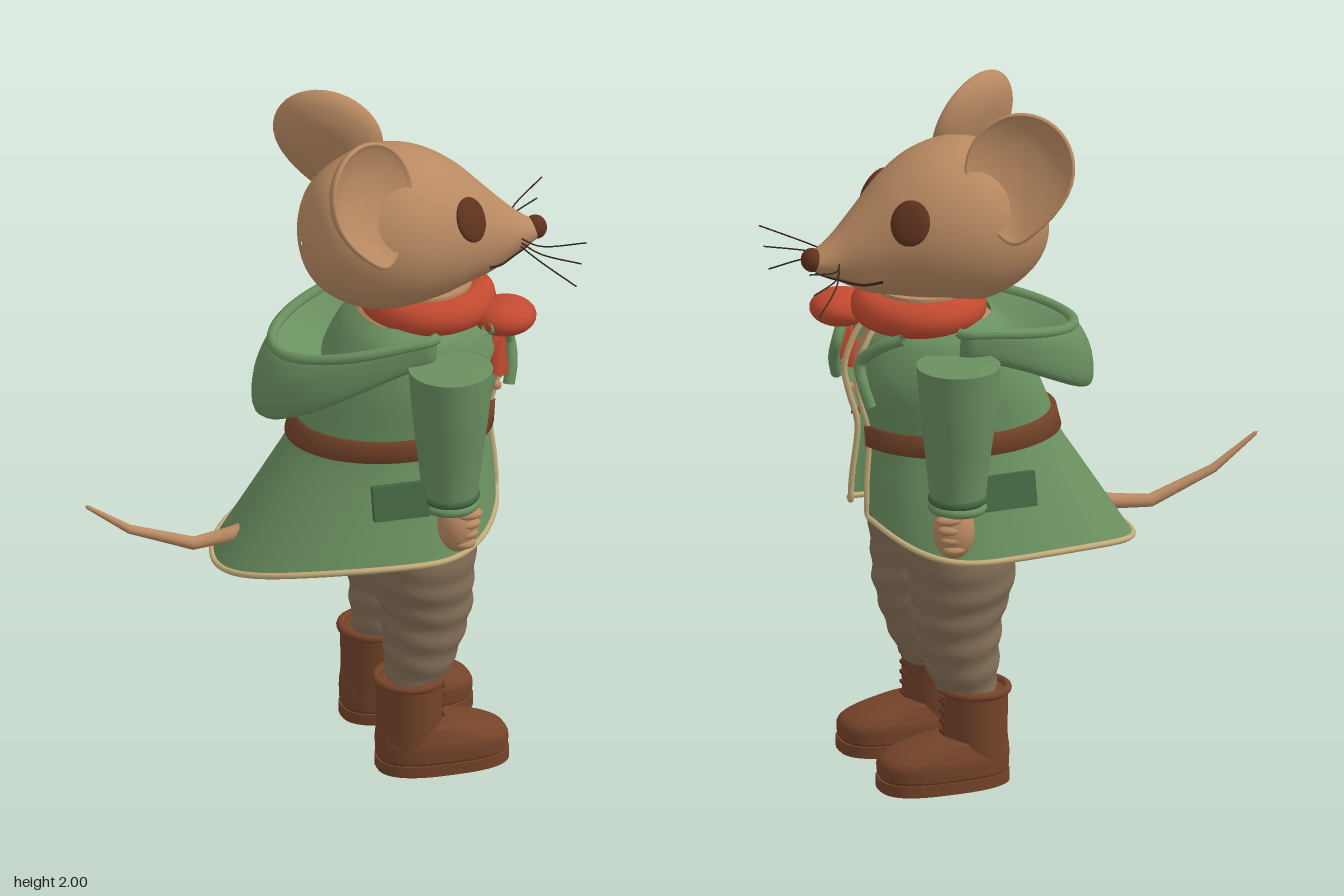
import * as THREE from 'three';

const V = (x, y, z) => new THREE.Vector3(x, y, z);
const mat = (name, color, side = THREE.FrontSide) => {
  const m = new THREE.MeshStandardMaterial({ color, side });
  m.name = name;
  return m;
};

// Skin a list of rings (equal point counts); closed shapes are turned outward.
function loft(rings, wrap = true) {
  const n = rings[0].length, idx = [], pos = rings.flat().flatMap(p => [p.x, p.y, p.z]);
  let vol = 0;
  const P = rings.flat(), tri = (a, b, c) => {
    idx.push(a, b, c);
    vol += P[a].dot(P[b].clone().cross(P[c]));
  };
  for (let i = 0; i < rings.length - 1; i++)
    for (let j = 0; j < (wrap ? n : n - 1); j++) {
      const k = (j + 1) % n, a = i * n + j, b = i * n + k;
      tri(a, b, a + n);
      tri(b, b + n, a + n);
    }
  if (vol < 0) idx.reverse();
  const g = new THREE.BufferGeometry();
  g.setAttribute('position', new THREE.Float32BufferAttribute(pos, 3));
  g.setIndex(idx);
  g.computeVertexNormals();
  return g;
}

// Catmull-Rom through table rows, column by column.
function smooth(rows, steps = 6) {
  const out = [], at = i => rows[Math.max(0, Math.min(rows.length - 1, i))];
  for (let i = 0; i < rows.length - 1; i++)
    for (let s = 0; s < steps; s++) {
      const t = s / steps;
      out.push(rows[i].map((b, c) => {
        const a = at(i - 1)[c], d = at(i + 1)[c], e = at(i + 2)[c];
        return b + 0.5 * t * (d - a + t * (2 * a - 5 * b + 4 * d - e + t * (3 * (b - d) + e - a)));
      }));
    }
  out.push(rows[rows.length - 1]);
  return out;
}

const circle = (n, fn) => Array.from({ length: n }, (_, i) => fn(i / n * Math.PI * 2));
const tube = (pts, r, seg = 40) => new THREE.TubeGeometry(new THREE.CatmullRomCurve3(pts), seg, r, 8);

export function createModel() {
  const model = new THREE.Group();
  model.name = 'mouse';
  const fur = mat('fur', 0xb98a62), green = mat('coatGreen', 0x6a9060, THREE.DoubleSide),
    darkGreen = mat('darkGreen', 0x456842), cloth = mat('trouserCloth', 0x857058),
    leather = mat('leather', 0x744329), red = mat('scarfRed', 0xc24a30),
    trim = mat('trim', 0xc4ad7c), dark = mat('darkBrown', 0x5f321e), ink = mat('whiskerDark', 0x35261d);
  const add = (name, geo, m, p) => {
    const mesh = new THREE.Mesh(geo, m);
    mesh.name = name;
    if (p) mesh.position.copy(p);
    model.add(mesh);
    return mesh;
  };
  const ball = (name, m, p, rx, ry, rz) => {
    const b = add(name, new THREE.SphereGeometry(1, 28, 20), m, p);
    b.scale.set(rx, ry, rz);
    return b;
  };

  // Head: x, top, bottom, half width
  const headRows = smooth([[-0.07, 1.62, 1.61, 0.005], [-0.055, 1.70, 1.53, 0.09], [-0.02, 1.775, 1.475, 0.15],
    [0.04, 1.825, 1.43, 0.195], [0.12, 1.86, 1.40, 0.223], [0.21, 1.872, 1.395, 0.23], [0.31, 1.845, 1.41, 0.208],
    [0.4, 1.785, 1.435, 0.165], [0.48, 1.705, 1.455, 0.115], [0.55, 1.635, 1.49, 0.07], [0.6, 1.595, 1.515, 0.045],
    [0.635, 1.575, 1.535, 0.025], [0.64, 1.555, 1.555, 0]]);
  const headPoint = ([x, t, b, w], a) => V(x, (t + b) / 2 + (t - b) / 2 * Math.sin(a), w * Math.cos(a));
  add('head', loft(headRows.map(r => circle(48, a => headPoint(r, a)))), fur);
  const onHead = (x, a, s) => {
    const i = headRows.findIndex(r => r[0] >= x), p = headRows[i - 1], q = headRows[i];
    const t = (x - p[0]) / (q[0] - p[0]);
    const v = headPoint(p.map((c, k) => c + (q[k] - c) * t), a);
    v.z *= s;
    return v;
  };
  ball('nose', dark, V(0.625, 1.56, 0), 0.032, 0.034, 0.037);

  // Coat cross-section: y, front rise, back drop, front x, back x, half width
  const coatRows = smooth([[1.37, 0, 0, 0.42, 0.10, 0.14], [1.32, 0, 0, 0.475, 0.05, 0.205], [1.2, 0, 0, 0.515, -0.02, 0.232],
    [1.06, 0, 0, 0.48, -0.08, 0.228], [1.0, 0, 0, 0.475, -0.095, 0.232],
    [0.87, 0.03, -0.02, 0.485, -0.19, 0.272], [0.71, 0.09, -0.07, 0.49, -0.325, 0.33]]);
  const coatPoint = ([y, rise, drop, xf, xb, w], a, e = 0) => {
    const c = Math.cos(a), cx = 0.2;
    return V(cx + c * ((c > 0 ? xf - cx : cx - xb) + e),
      y + rise * Math.max(0, c) ** 3 + drop * Math.max(0, -c) ** 3, (w + e) * Math.sin(a));
  };
  const gap = 0.22;
  const arc = (fn, from = gap, n = 64) => Array.from({ length: n + 1 }, (_, i) => fn(from + (2 * Math.PI - 2 * from) * i / n));
  const rowAt = y => coatRows.reduce((a, b) => Math.abs(b[0] - y) < Math.abs(a[0] - y) ? b : a);
  add('coat', loft(coatRows.map(r => arc(a => coatPoint(r, a))), false), green);
  const hem = arc(a => coatPoint(coatRows.at(-1), a));
  const edge = a => coatRows.filter((_, i) => i % 3 === 0 && i < coatRows.length - 1).map(r => coatPoint(r, a, 0.003));
  add('coatTrim', tube([...edge(gap), ...hem, ...edge(-gap).reverse()], 0.009, 260), trim);

  // Chest seen through the open coat
  add('chest', loft(coatRows.filter(r => r[0] > 0.93).map(r => circle(40, a => coatPoint(r, a, -0.022)))), fur);
  add('neck', new THREE.CylinderGeometry(0.14, 0.15, 0.14, 32), fur, V(0.29, 1.38, 0));

  // Belt with buckle
  const beltRow = (y, e) => arc(a => coatPoint([y, ...rowAt(y).slice(1)], a, e));
  add('belt', loft([beltRow(1.0, -0.01), beltRow(1.0, 0.016), beltRow(1.06, 0.016), beltRow(1.06, -0.01)], false), leather);
  const bp = coatPoint(rowAt(1.03), 0.95, 0.02);
  const buckle = add('buckle', new THREE.BoxGeometry(0.045, 0.065, 0.02), fur, bp);
  buckle.rotation.y = 0.75;

  // Hood lying on the back: back x, half width, back y, side y
  const hoodRows = smooth([[0.08, 0.15, 1.22, 1.33], [-0.04, 0.2, 1.24, 1.35], [-0.13, 0.235, 1.29, 1.37], [-0.165, 0.25, 1.285, 1.365],
    [-0.205, 0.25, 1.2, 1.34], [-0.205, 0.245, 1.1, 1.31], [-0.14, 0.235, 1.11, 1.29], [-0.03, 0.215, 1.2, 1.27]], 4);
  const hoodPoint = ([xb, w, yb, ys], a) => {
    const c = Math.cos(a);
    return V(0.22 + c * (c < 0 ? 0.22 - xb : 0.1), ys + (yb - ys) * Math.max(0, -c) ** 1.3, w * Math.sin(a));
  };
  add('hood', loft(hoodRows.map(r => arc(a => hoodPoint(r, a), 1.15, 40)), false), green);
  add('hoodRim', tube(arc(a => hoodPoint([-0.15, 0.243, 1.295, 1.37], a), 1.15, 30), 0.016, 60), green);

  // Scarf with knot and tails
  const scarf = add('scarf', new THREE.TorusGeometry(0.142, 0.052, 16, 48), red, V(0.305, 1.39, 0));
  scarf.rotation.x = Math.PI / 2;
  ball('scarfKnot', red, V(0.495, 1.36, 0.125), 0.09, 0.053, 0.085);
  for (const dz of [-0.03, 0.03]) {
    const t = add('scarfTail', new THREE.ConeGeometry(0.035, 0.15, 4), red, V(0.475, 1.27, 0.12 + dz));
    t.rotation.set(0, 0, -0.15);
  }
  for (const y of [1.2, 1.12]) ball('button', fur, coatPoint(rowAt(y), 0.42, 0.006), 0.014, 0.014, 0.014);

  // Hips and tail
  add('hips', loft(smooth([[0.97, 0.02], [0.96, 0.19], [0.85, 0.215], [0.74, 0.225], [0.68, 0.16], [0.66, 0.01]])
    .map(([y, r]) => circle(40, a => V(0.235 + r * 0.87 * Math.cos(a), y, r * 1.1 * Math.sin(a))))), cloth);
  const tail = [[0.08, 0.86, 0.03], [-0.14, 0.75, 0.026], [-0.28, 0.72, 0.022], [-0.39, 0.708, 0.019], [-0.58, 0.782, 0.013],
    [-0.705, 0.872, 0.006], [-0.712, 0.877, 0]];
  add('tail', loft(tail.map(([x, y, r], i) => {
    const p = tail[Math.max(0, i - 1)], q = tail[Math.min(tail.length - 1, i + 1)];
    const d = V(q[0] - p[0], q[1] - p[1], 0).normalize();
    return circle(16, a => V(x - d.y * r * Math.cos(a), y + d.x * r * Math.cos(a), r * Math.sin(a)));
  })), fur);

  for (const s of [1, -1]) {
    // Cupped ear: rings run from the back over the rim into the cup
    const up = V(-0.06, 0.38, -0.075 * s).normalize(), side = V(0.87, 0, -0.49 * s);
    const out = V(0.49, 0.2, 0.87 * s).normalize();
    const earRings = smooth([[0, -0.055], [0.5, -0.05], [0.85, -0.028], [1, 0], [0.97, 0.014], [0.86, 0.002], [0.5, -0.022], [0, -0.032]], 4);
    add('ear', loft(earRings.map(([k, d]) => circle(40, a => {
      const c = Math.cos(a), w = 0.158 * Math.sin(a) * (c < 0 ? 1 - 0.45 * c * c : 1);
      return V(0.072, 1.835, 0.203 * s).addScaledVector(side, w * k)
        .addScaledVector(up, c * k * (c > 0 ? 0.163 : 0.215)).addScaledVector(out, d);
    }))), fur);

    // Face details
    const eye = ball('eye', dark, onHead(0.385, 0.46, s), 0.058, 0.066, 0.018);
    eye.lookAt(eye.position.clone().add(V(0.55, 0.38, 0.75 * s)));
    add('mouth', tube([[0.615, -1.5], [0.585, -1.1], [0.55, -0.95], [0.5, -0.8], [0.45, -0.58]].map(([x, a]) => onHead(x, a, s)), 0.005), ink);
    [[0.6, 1.6], [0.53, 1.535], [0.46, 1.465]].forEach(([, y], i) =>
      add('whisker', tube([V(0.56, 1.56 - i * 0.012, 0.05 * s), V(0.6, 1.565 - i * 0.025, 0.13 * s),
        V(0.71 - i * 0.015, y, 0.213 * s)], 0.0022, 16), ink));

    // Sleeve, cuff and hand
    const sleeve = smooth([[1.3, 0.12, 0.281], [1.15, 0.108, 0.279], [1.0, 0.09, 0.276], [0.88, 0.078, 0.274]]);
    const sleeveRing = ([y, r, z]) => circle(32, a => V(0.285 + r * Math.cos(a), y, (z + r * Math.sin(a)) * s));
    add('sleeve', loft(sleeve.map(sleeveRing)), green);
    add('shoulder', loft([[1.299, 0.12, 0.281], [1.3, 0.118, 0.281], [1.301, 0, 0.281]].map(sleeveRing)), green);
    for (const y of [0.872, 0.897]) {
      const cuff = add('cuff', new THREE.TorusGeometry(0.07, 0.015, 12, 32), y < 0.88 ? green : darkGreen, V(0.285, y, 0.275 * s));
      cuff.rotation.x = Math.PI / 2;
    }
    ball('hand', fur, V(0.302, 0.805, 0.29 * s), 0.06, 0.083, 0.058);
    for (let i = 0; i < 4; i++)
      ball('finger', fur, V(0.325 - i * 0.004, 0.85 - i * 0.03, 0.322 * s), 0.042 - i * 0.003, 0.017, 0.026);

    // Pocket flap
    const pocket = add('pocketFlap', new THREE.BoxGeometry(0.16, 0.1, 0.03), darkGreen, V(0.135, 0.9, 0.283 * s));
    pocket.rotation.set(-0.25 * s, -0.1 * s, 0);

    // Hood cord
    add('cord', tube([V(0.42, 1.36, 0.19 * s), V(0.47, 1.33, 0.15 * s), V(0.515, 1.27, 0.1 * s),
      V(0.515, 1.21, 0.125 * s), V(0.5, 1.15, 0.145 * s)], 0.017), green);

    // Trouser leg with folds: y, back x, front x, inner z, outer z
    const leg = smooth([[0.82, 0.09, 0.40, 0.02, 0.27], [0.7, 0.08, 0.395, 0.012, 0.31], [0.6, 0.085, 0.385, 0.02, 0.305],
      [0.5, 0.115, 0.38, 0.038, 0.285], [0.4, 0.125, 0.355, 0.05, 0.27], [0.32, 0.13, 0.325, 0.065, 0.255], [0.255, 0.14, 0.29, 0.08, 0.24]], 10);
    add('trouserLeg', loft(leg.map(([y, x0, x1, z0, z1]) => circle(40, a => {
      const fold = 1 + 0.028 * Math.sin(y * 75 + 2.2 * Math.sin(a + 0.6)) * Math.min(1, Math.max(0, (0.72 - y) * 5));
      return V((x0 + x1) / 2 + (x1 - x0) / 2 * fold * Math.cos(a), y, s * ((z0 + z1) / 2 + (z1 - z0) / 2 * fold * Math.sin(a)));
    }))), cloth);

    // Boot: y, heel x, toe x, half width
    const sole = ([y, x0, x1, w]) => circle(40, a => {
      const c = Math.cos(a), n = Math.sin(a), e = t => Math.sign(t) * Math.abs(t) ** 0.75;
      return V((x0 + x1) / 2 + (x1 - x0) / 2 * e(c), y, s * (0.17 + w * e(n) * (0.94 + 0.06 * c)));
    });
    add('bootSole', loft([[0, 0.2, 0.3, 0], [0, 0.1, 0.485, 0.113], [0, 0.1, 0.485, 0.113], [0.034, 0.1, 0.485, 0.113],
      [0.034, 0.1, 0.485, 0.113], [0.034, 0.2, 0.3, 0]].map(sole)), leather);
    add('bootWelt', loft([[0.034, 0.105, 0.478, 0.107], [0.042, 0.105, 0.478, 0.107]].map(sole)), dark);
    add('bootFoot', loft(smooth([[0.04, 0.102, 0.482, 0.108], [0.08, 0.1, 0.482, 0.108], [0.103, 0.1, 0.455, 0.1], [0.122, 0.103, 0.4, 0.09],
      [0.14, 0.108, 0.32, 0.075], [0.15, 0.15, 0.25, 0.01]]).map(sole)), leather);
    add('bootShaft', new THREE.CylinderGeometry(0.096, 0.092, 0.19, 36), leather, V(0.197, 0.18, 0.168 * s));
    const cuff = add('bootCuff', new THREE.TorusGeometry(0.094, 0.012, 10, 36), leather, V(0.197, 0.277, 0.168 * s));
    cuff.rotation.x = Math.PI / 2;
    for (let i = 0; i < 4; i++)
      add('bootLace', new THREE.BoxGeometry(0.008, 0.008, 0.05), dark, V(0.291, 0.15 + i * 0.03, 0.168 * s));
  }
  return model;
}
